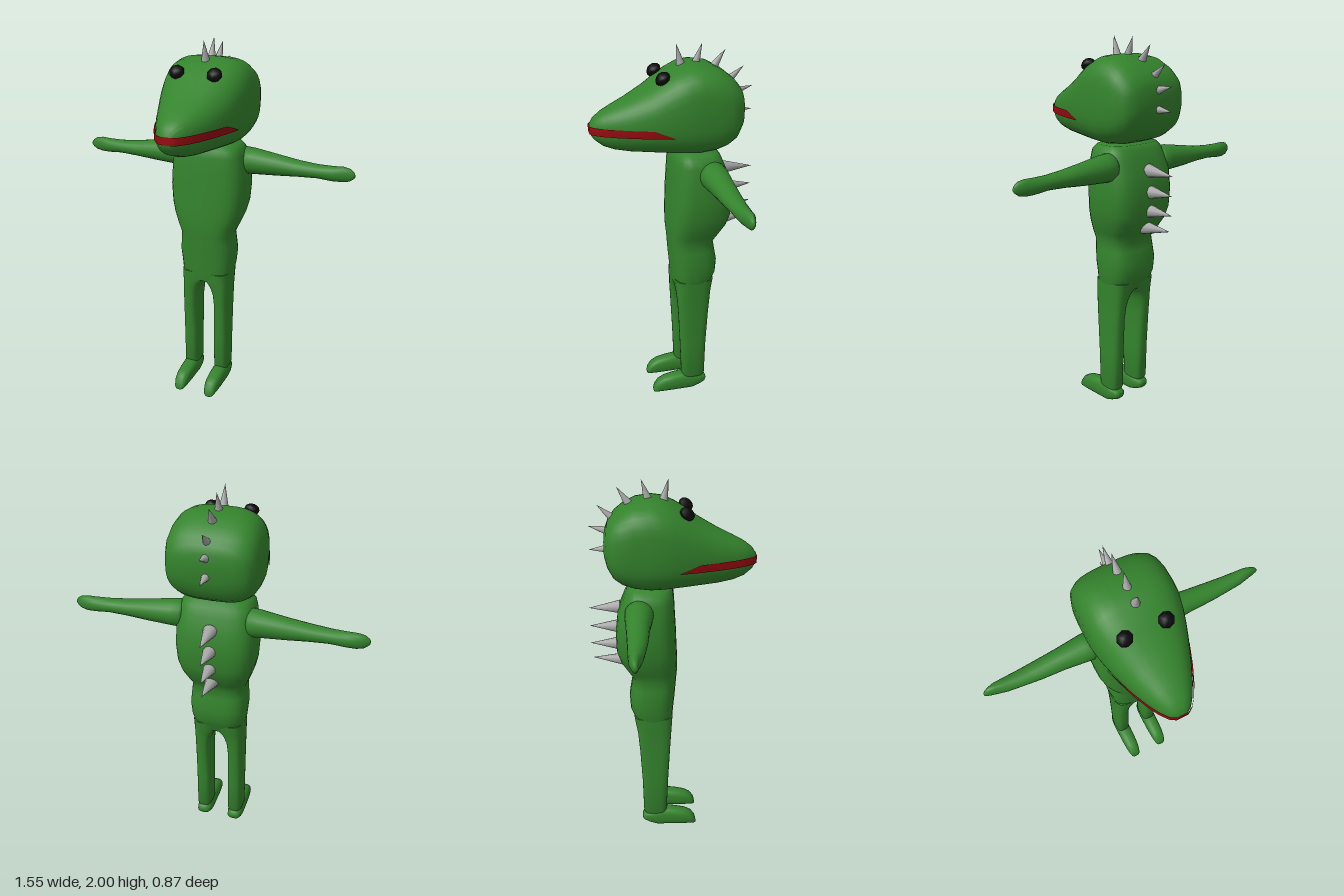
import * as THREE from 'three';
import { toCreasedNormals } from 'three/addons/utils/BufferGeometryUtils.js';

const green = new THREE.MeshStandardMaterial({ color: 0x34832d });
green.name = 'skin green';
const red = new THREE.MeshStandardMaterial({ color: 0x960a0e, side: THREE.DoubleSide });
red.name = 'mouth red';
const black = new THREE.MeshStandardMaterial({ color: 0x0a0a0a });
black.name = 'eye black';
const grey = new THREE.MeshStandardMaterial({ color: 0xa6a6a6 });
grey.name = 'spike grey';

const AXES = {
  x: { place: (t, a, b) => [t, b, a], flip: true },
  y: { place: (t, a, b) => [a, t, b], flip: true },
  z: { place: (t, a, b) => [a, b, t], flip: false },
};

// Skin over rounded cross-sections [t, aMin, aMax, bMin, bMax, roundness], t rising along the axis
function loft(axis, sections, side = 1, segs = 28) {
  const { place, flip } = AXES[axis];
  const pos = [], idx = [];
  const add = (t, a, b) => {
    const [x, y, z] = place(t, a, b);
    pos.push(x * side, y, z);
  };
  const tri = (a, b, c) => (flip !== (side < 0) ? idx.push(a, c, b) : idx.push(a, b, c));
  const power = (v, n) => Math.sign(v) * Math.pow(Math.abs(v), 2 / n);
  for (const [t, a0, a1, b0, b1, n] of sections) {
    for (let i = 0; i < segs; i++) {
      const ang = (i / segs) * Math.PI * 2;
      add(t, (a0 + a1) / 2 + ((a1 - a0) / 2) * power(Math.cos(ang), n),
        (b0 + b1) / 2 + ((b1 - b0) / 2) * power(Math.sin(ang), n));
    }
  }
  const last = sections.length - 1;
  for (let r = 0; r < last; r++) {
    for (let i = 0; i < segs; i++) {
      const j = (i + 1) % segs, a = r * segs, b = a + segs;
      tri(a + i, a + j, b + j);
      tri(a + i, b + j, b + i);
    }
  }
  // End caps
  for (const r of [0, last]) {
    const [t, a0, a1, b0, b1] = sections[r];
    const c = pos.length / 3;
    add(t, (a0 + a1) / 2, (b0 + b1) / 2);
    for (let i = 0; i < segs; i++) {
      const p = r * segs + i, q = r * segs + ((i + 1) % segs);
      if (r) tri(c, p, q); else tri(c, q, p);
    }
  }
  const geo = new THREE.BufferGeometry();
  geo.setAttribute('position', new THREE.Float32BufferAttribute(pos, 3));
  geo.setIndex(idx);
  return toCreasedNormals(geo, 1.1);
}

// Head profile: [z, half width, bottom, top, roundness]
const HEAD = [
  [-0.33, 0.14, 1.62, 1.76, 2.6], [-0.315, 0.185, 1.57, 1.8, 2.8], [-0.285, 0.215, 1.52, 1.835, 3],
  [-0.24, 0.228, 1.49, 1.87, 3.2], [-0.18, 0.232, 1.47, 1.9, 3.3], [-0.1, 0.232, 1.46, 1.912, 3.3],
  [-0.04, 0.23, 1.462, 1.905, 3.2], [0.02, 0.22, 1.465, 1.88, 3], [0.08, 0.205, 1.468, 1.845, 2.8],
  [0.14, 0.187, 1.472, 1.805, 2.6], [0.24, 0.15, 1.48, 1.75, 2.5], [0.32, 0.115, 1.493, 1.713, 2.4],
  [0.375, 0.085, 1.513, 1.685, 2.4], [0.415, 0.055, 1.545, 1.655, 2.4], [0.435, 0.028, 1.575, 1.625, 2.4],
];

// Half width of the head at depth z and height y
function headWidth(z, y) {
  let i = 0;
  while (i < HEAD.length - 2 && HEAD[i + 1][0] < z) i++;
  const f = (z - HEAD[i][0]) / (HEAD[i + 1][0] - HEAD[i][0]);
  const [, w, lo, hi, n] = HEAD[i].map((v, k) => v + (HEAD[i + 1][k] - v) * f);
  const v = Math.min(1, Math.abs((y - (lo + hi) / 2) / ((hi - lo) / 2)));
  return w * Math.pow(1 - Math.pow(v, n), 1 / n);
}

// Red band wrapping the snout, tapering at the corners
function mouthGeometry() {
  const zs = [0.04, 0.08, 0.11, 0.14, 0.19, 0.24, 0.28, 0.32, 0.35, 0.375, 0.395, 0.415, 0.425, 0.433];
  const path = [...zs.map(z => [z, -1]), ...zs.slice().reverse().map(z => [z, 1])];
  const pos = [], idx = [];
  path.forEach(([z, s], i) => {
    const top = 1.583 + 0.037 * Math.min(1, (z - 0.04) / 0.1);
    for (const y of [1.58, (1.58 + top) / 2, top]) {
      const x = Math.max(headWidth(z, y), z > 0.42 ? 0.022 : 0) + 0.005;
      pos.push(s * x, y, z + 0.005);
    }
    if (i) for (const k of [0, 1]) {
      const a = (i - 1) * 3 + k, b = a + 3;
      idx.push(a, b, b + 1, a, b + 1, a + 1);
    }
  });
  const geo = new THREE.BufferGeometry();
  geo.setAttribute('position', new THREE.Float32BufferAttribute(pos, 3));
  geo.setIndex(idx);
  geo.computeVertexNormals();
  return geo;
}

const TORSO = [
  [0.67, -0.13, 0.13, -0.185, 0.005, 3], [0.72, -0.143, 0.143, -0.205, 0.012, 3],
  [0.76, -0.148, 0.148, -0.222, 0.015, 3], [0.83, -0.155, 0.155, -0.226, 0.022, 3],
  [0.9, -0.15, 0.15, -0.214, 0.028, 3], [0.95, -0.146, 0.146, -0.205, 0.032, 3],
  [1.0, -0.166, 0.166, -0.235, 0.036, 3.2], [1.06, -0.188, 0.188, -0.27, 0.035, 3.4],
  [1.12, -0.202, 0.202, -0.288, 0.032, 3.5], [1.22, -0.21, 0.21, -0.29, 0.028, 3.5],
  [1.32, -0.205, 0.205, -0.278, 0.022, 3.5], [1.4, -0.193, 0.193, -0.245, 0.018, 3.5],
  [1.44, -0.184, 0.184, -0.228, 0.01, 3.5], [1.465, -0.16, 0.16, -0.21, -0.008, 3.5],
];
const LEG = [
  [0.085, 0.055, 0.13, -0.15, -0.03, 3.2], [0.1, 0.05, 0.135, -0.157, -0.024, 3.2],
  [0.3, 0.05, 0.135, -0.162, -0.016, 3.2], [0.5, 0.053, 0.135, -0.173, -0.005, 3.2],
  [0.58, 0.045, 0.136, -0.18, 0, 3.2], [0.62, 0.03, 0.137, -0.184, 0.003, 3.2],
  [0.645, 0.015, 0.138, -0.188, 0.005, 3.2], [0.665, -0.005, 0.139, -0.193, 0.007, 3.2],
  [0.72, -0.01, 0.14, -0.202, 0.01, 3.2],
];
const FOOT = [
  [-0.165, 0.07, 0.115, 0.045, 0.068, 2.5], [-0.155, 0.058, 0.127, 0.03, 0.08, 2.5],
  [-0.12, 0.05, 0.135, 0.014, 0.092, 2.8], [-0.08, 0.049, 0.136, 0.001, 0.102, 3],
  [-0.03, 0.049, 0.136, 0, 0.11, 2.8], [0.03, 0.05, 0.135, 0, 0.102, 2.8],
  [0.08, 0.053, 0.132, 0, 0.092, 2.8], [0.115, 0.058, 0.127, 0, 0.075, 2.8],
  [0.137, 0.065, 0.12, 0, 0.045, 2.8], [0.145, 0.075, 0.11, 0.002, 0.02, 2.5],
];
const ARM = [
  [0.165, -0.225, -0.095, 1.295, 1.425, 2], [0.18, -0.236, -0.086, 1.288, 1.434, 2],
  [0.23, -0.234, -0.09, 1.29, 1.43, 2], [0.36, -0.222, -0.105, 1.297, 1.41, 2],
  [0.48, -0.214, -0.11, 1.307, 1.392, 2], [0.58, -0.207, -0.12, 1.311, 1.383, 2],
  [0.66, -0.203, -0.13, 1.304, 1.383, 2], [0.71, -0.198, -0.142, 1.304, 1.386, 2],
  [0.745, -0.187, -0.15, 1.311, 1.38, 2], [0.765, -0.178, -0.155, 1.325, 1.366, 2],
  [0.774, -0.17, -0.16, 1.336, 1.352, 2],
];
// Spikes on the midline: [base y, base z, tip y, tip z, radius]
const SPIKES = [
  [1.895, -0.034, 2.0, -0.01, 0.023], [1.895, -0.11, 1.998, -0.145, 0.023],
  [1.875, -0.205, 1.962, -0.267, 0.023], [1.803, -0.285, 1.873, -0.367, 0.023],
  [1.742, -0.315, 1.768, -0.417, 0.023], [1.65, -0.315, 1.645, -0.417, 0.023],
  [1.335, -0.265, 1.328, -0.432, 0.037], [1.225, -0.275, 1.227, -0.43, 0.037],
  [1.125, -0.27, 1.127, -0.43, 0.037], [1.03, -0.24, 1.042, -0.42, 0.037],
];

export function createModel() {
  const model = new THREE.Group();
  model.name = 'spikyLizard';
  const add = (name, geo, mat) => {
    const mesh = new THREE.Mesh(geo, mat);
    mesh.name = name;
    model.add(mesh);
    return mesh;
  };

  add('head', loft('z', HEAD.map(([z, w, lo, hi, n]) => [z, -w, w, lo, hi, n]), 1, 36), green);
  add('mouth', mouthGeometry(), red);
  add('torso', loft('y', TORSO), green);

  // Paired limbs
  for (const [label, side] of [['left', 1], ['right', -1]]) {
    add(label + 'Arm', loft('x', ARM, side, 20), green);
    add(label + 'Leg', loft('y', LEG, side, 24), green);
    add(label + 'Foot', loft('z', FOOT, side, 20), green);
    // Eye: flattened ball lying on the sloping brow
    const eye = add(label + 'Eye', new THREE.SphereGeometry(0.04, 8, 6), black);
    eye.position.set(side > 0 ? 0.095 : -0.108, 1.852, 0.08);
    eye.rotation.x = 0.65;
    eye.scale.y = 0.75;
  }

  // Spikes down the crown and the back
  SPIKES.forEach(([y0, z0, y1, z1, r], i) => {
    const dir = new THREE.Vector3(0, y1 - y0, z1 - z0);
    const spike = add((i < 6 ? 'headSpike' : 'backSpike') + (i + 1), new THREE.ConeGeometry(r, dir.length(), 10), grey);
    spike.position.set(0, (y0 + y1) / 2, (z0 + z1) / 2);
    spike.quaternion.setFromUnitVectors(new THREE.Vector3(0, 1, 0), dir.normalize());
  });
  return model;
}
